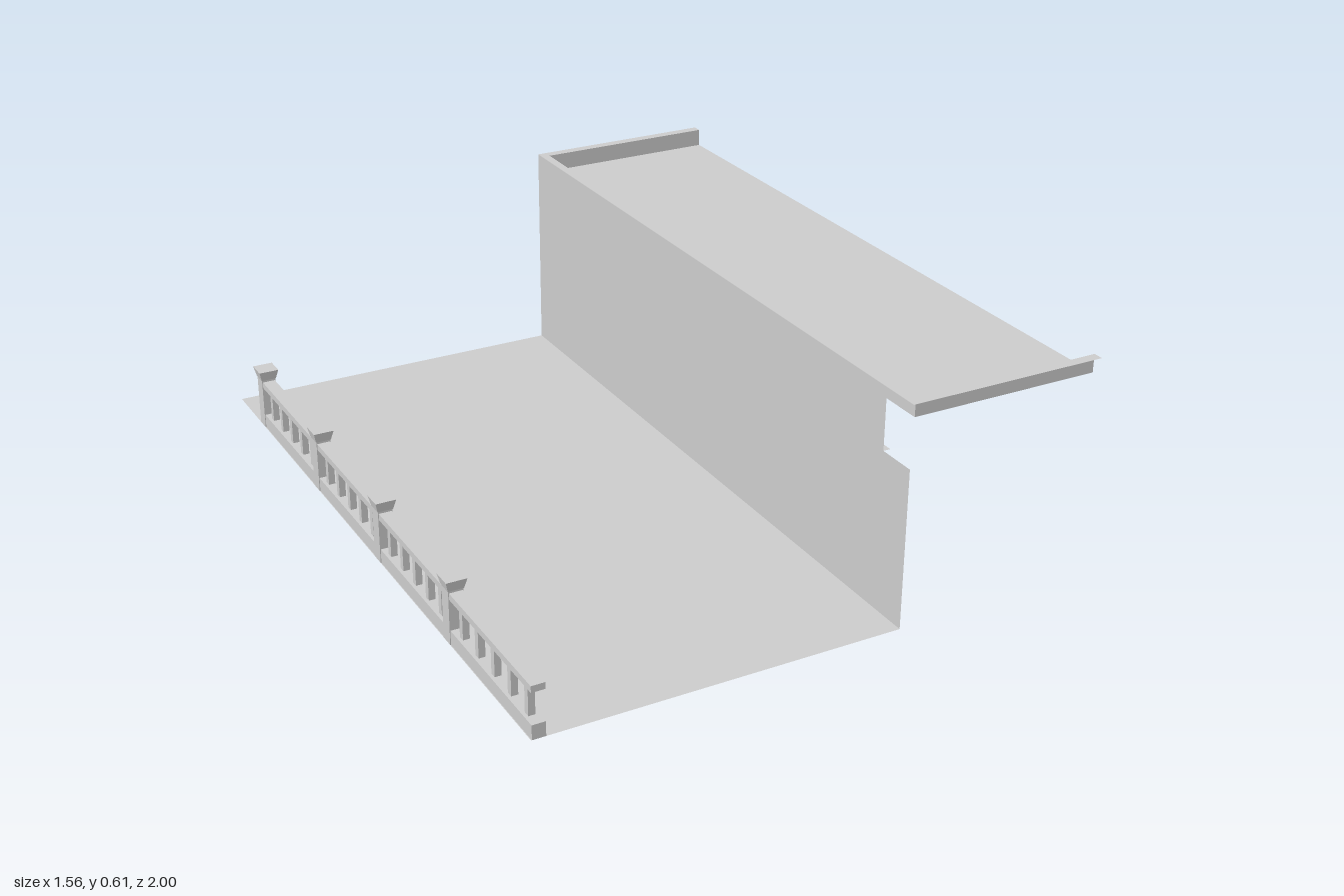
import * as THREE from 'three';

export function createModel() {
  const root = new THREE.Group();
  const grey = new THREE.MeshStandardMaterial({ color: 0xcccccc, side: THREE.DoubleSide, flatShading: true });
  grey.name = 'plain grey';

  const add = (name, geometry, x = 0, y = 0, z = 0, parent = root) => {
    const mesh = new THREE.Mesh(geometry, grey);
    mesh.name = name;
    mesh.position.set(x, y, z);
    parent.add(mesh);
    return mesh;
  };
  const outline = (pts) => new THREE.ShapeGeometry(new THREE.Shape(pts.map(([a, b]) => new THREE.Vector2(a, b))));
  const flat = (pts) => outline(pts).rotateX(Math.PI / 2); // points are x, z
  const rect = (x0, x1, z0, z1) => flat([[x0, z0], [x1, z0], [x1, z1], [x0, z1]]);

  const railX = -0.755, wallX = 0.225, roofX = 0.25, endX = 0.78;
  const roofY = 0.56, rimY = 0.61, roofZ = 0.972, ledgeY = 0.44;

  // Lower terrace floor
  add('terraceFloor', rect(-0.775, wallX, -1, 1));

  // Wall with a notch at the front upper corner, points are z, y
  add('wall', outline([[-1, 0], [1, 0], [1, ledgeY], [0.89, ledgeY], [0.89, rimY], [-1, rimY]])
    .rotateY(-Math.PI / 2), wallX);
  add('wallLedge', rect(wallX, wallX + 0.02, -1, 0.89), 0, ledgeY);

  // Roof tray, open along its outer long side
  add('roofDeck', rect(roofX, endX, -roofZ, roofZ), 0, roofY);
  const rimH = rimY - roofY, midY = (rimY + roofY) / 2;
  add('longParapet', new THREE.PlaneGeometry(roofZ * 2, rimH).rotateY(-Math.PI / 2), roofX, midY, 0);
  for (const s of [-1, 1]) {
    add('endParapet', new THREE.PlaneGeometry(endX - roofX, rimH), (endX + roofX) / 2, midY, s * roofZ);
  }
  add('parapetFlange', flat([
    [endX, -1], [wallX, -1], [wallX, 1], [endX, 1],
    [endX, roofZ], [roofX, roofZ], [roofX, -roofZ], [endX, -roofZ],
  ]), 0, rimY);

  // Balustrade
  const railing = new THREE.Group();
  railing.name = 'balustrade';
  root.add(railing);
  const postZ = [0.53, 0.085, -0.36, -0.805], postW = 0.04;
  const railLength = 1 - postZ[3], railMid = (1 + postZ[3]) / 2;
  add('baseRail', new THREE.BoxGeometry(0.036, 0.04, railLength), railX, 0.02, railMid, railing);
  add('handRail', new THREE.BoxGeometry(0.036, 0.018, railLength), railX, 0.135, railMid, railing);

  // Square cap flaring outwards to the top
  const capGeometry = new THREE.CylinderGeometry(0.0283 * Math.SQRT2, 0.0215 * Math.SQRT2, 0.028, 4).rotateY(Math.PI / 4);
  const balusterGeometry = new THREE.BoxGeometry(0.018, 0.088, 0.018);
  const perBay = 5;
  postZ.forEach((z, i) => {
    add('post', new THREE.BoxGeometry(postW, 0.15, postW), railX, 0.075, z, railing);
    add('postCap', capGeometry, railX, 0.164, z, railing);
    // Balusters fill the bay in front of each post
    const start = z + postW / 2;
    const end = i === 0 ? 1 : postZ[i - 1] - postW / 2;
    for (let k = 0; k < perBay; k++) {
      add('baluster', balusterGeometry, railX, 0.083, start + ((k + 0.5) / perBay) * (end - start), railing);
    }
  });

  return root;
}
